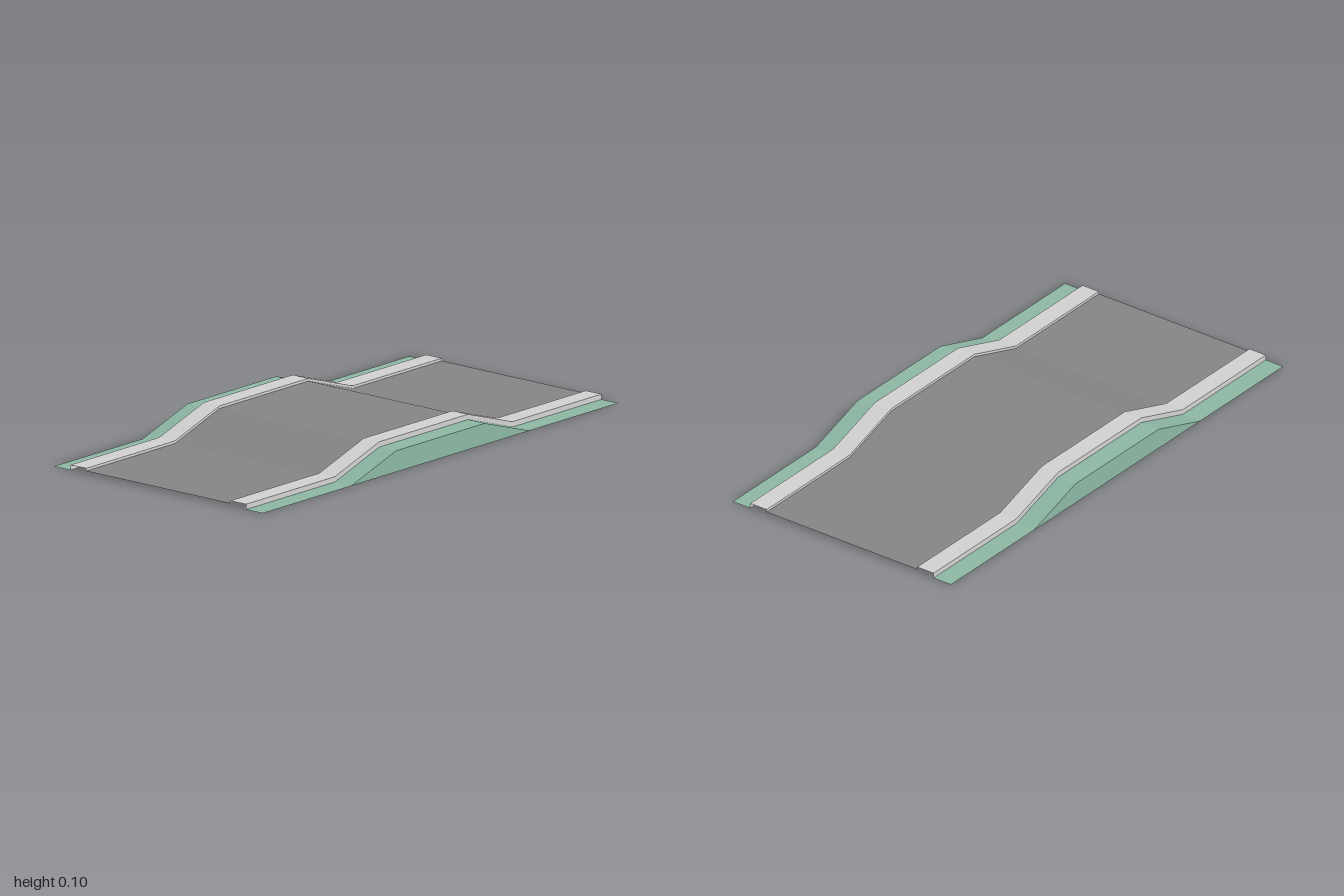
import * as THREE from 'three';

// Stations along the road: [z, height of the ground]
const PROFILE = [[-1, 0], [-0.5, 0], [-0.25, 0.08], [0.25, 0.08], [0.5, 0], [1, 0]];
const HUMP = PROFILE.slice(1, 5);

const makeMaterial = (name, color) => {
  const material = new THREE.MeshStandardMaterial({ color, side: THREE.DoubleSide });
  material.name = name;
  return material;
};

// Sweeps an open cross-section, listed from -x to +x, along the stations.
// A section point is [x, offset above ground], or [x, 'base'] to stay on y = 0.
function sweep(section, stations) {
  const point = ([x, dy], [z, h]) => [x, dy === 'base' ? 0 : h + dy, z];
  const positions = [];
  for (let s = 0; s < stations.length - 1; s++) {
    for (let i = 0; i < section.length - 1; i++) {
      const a0 = point(section[i], stations[s]);
      const b0 = point(section[i + 1], stations[s]);
      const a1 = point(section[i], stations[s + 1]);
      const b1 = point(section[i + 1], stations[s + 1]);
      positions.push(...a0, ...a1, ...b1, ...a0, ...b1, ...b0);
    }
  }
  const geometry = new THREE.BufferGeometry();
  geometry.setAttribute('position', new THREE.Float32BufferAttribute(positions, 3));
  geometry.computeVertexNormals(); // unshared corners give flat faces
  return geometry;
}

const mirror = (section) => section.map(([x, dy]) => [-x, dy]).reverse();

export function createModel() {
  const group = new THREE.Group();
  group.name = 'roadWithHump';
  const asphalt = makeMaterial('asphalt grey', 0x888888);
  const kerbStone = makeMaterial('kerb light grey', 0xd5d5d6);
  const grass = makeMaterial('grass green', 0x8fbaa6);

  const add = (name, section, stations, material) => {
    const mesh = new THREE.Mesh(sweep(section, stations), material);
    mesh.name = name;
    group.add(mesh);
  };

  // Road surface, slightly below the kerbs
  add('roadSurface', [[-0.345, 0.01], [0.345, 0.01]], PROFILE, asphalt);

  // Kerbs, verges and the skirts that close the hump at the sides
  const kerb = [[-0.42, 0], [-0.42, 0.02], [-0.345, 0.02], [-0.345, 0.01]];
  const verge = [[-0.5, 0], [-0.42, 0]];
  const skirt = [[-0.5, 'base'], [-0.5, 0]];
  for (const [side, place] of [['right', (s) => s], ['left', mirror]]) {
    add(`${side}Kerb`, place(kerb), PROFILE, kerbStone);
    add(`${side}Verge`, place(verge), PROFILE, grass);
    add(`${side}HumpSkirt`, place(skirt), HUMP, grass);
  }
  return group;
}
